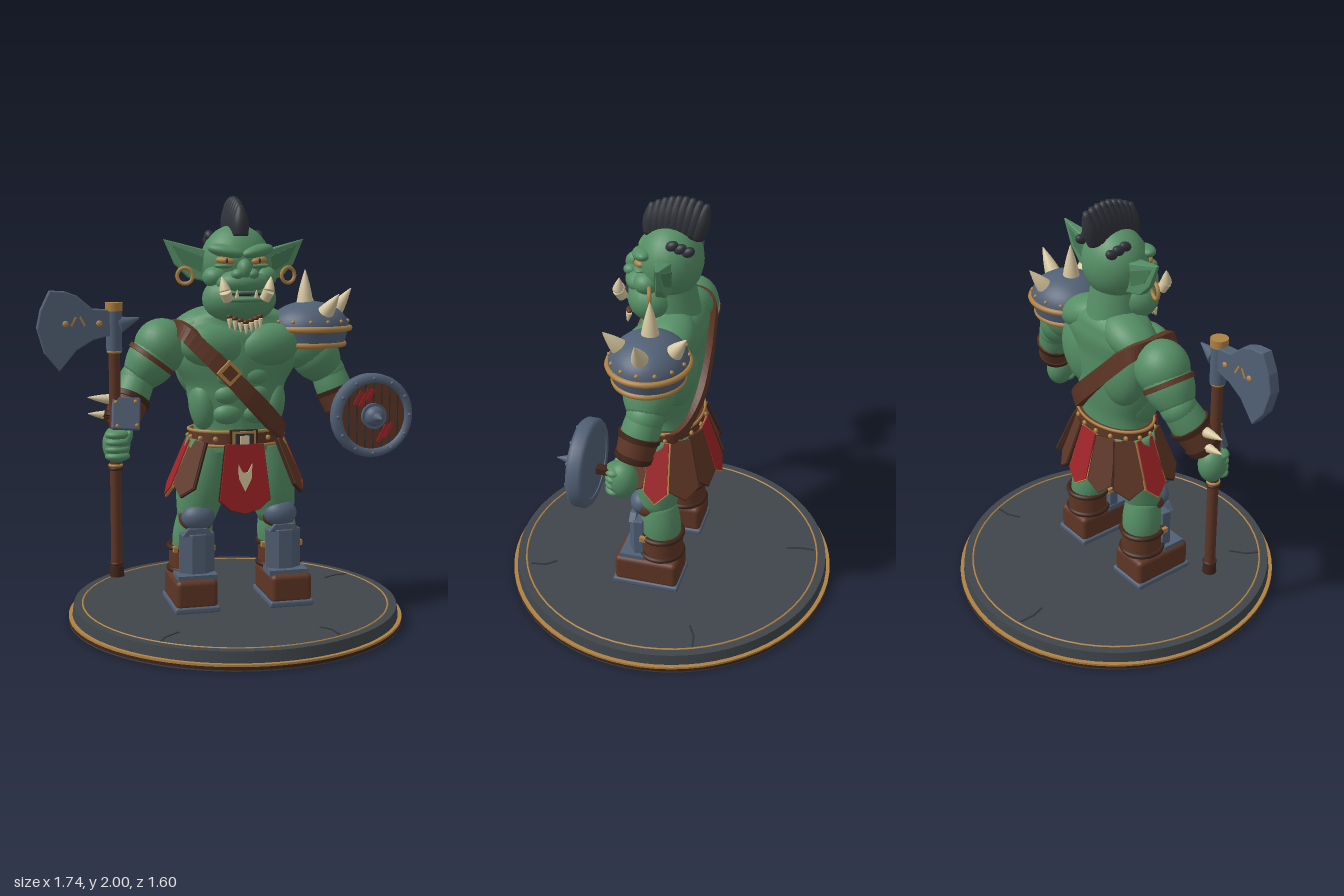
import * as THREE from 'three';
import { RoundedBoxGeometry } from 'three/addons/geometries/RoundedBoxGeometry.js';

const V = (p) => new THREE.Vector3(...p);
const M = {};
for (const [name, color] of Object.entries({
  skin: 0x558e65, darkSkin: 0x457a54, steel: 0x516075, leather: 0x5e3625, darkLeather: 0x40251b,
  gold: 0xae8142, red: 0x9e2327, bone: 0xd8c8a0, stone: 0x3f454a, hair: 0x30333a,
})) { M[name] = new THREE.MeshStandardMaterial({ color }); M[name].name = name; }

let root;
function add(name, geo, mat, p = [0, 0, 0], r = [0, 0, 0], parent = root) {
  const m = new THREE.Mesh(geo, M[mat]);
  m.name = name;
  m.position.set(...p);
  m.rotation.set(...r);
  parent.add(m);
  return m;
}
const ball = (name, mat, p, s, r) => {
  const m = add(name, new THREE.SphereGeometry(1, 24, 16), mat, p, r);
  m.scale.set(...s);
  return m;
};
const box = (name, mat, p, s, r) => add(name, new THREE.BoxGeometry(...s), mat, p, r);
const disc = (name, mat, p, r0, r1, h, r) => add(name, new THREE.CylinderGeometry(r1, r0, h, 72), mat, p, r);
const ring = (name, mat, p, R, t, r = [Math.PI / 2, 0, 0]) => add(name, new THREE.TorusGeometry(R, t, 8, 64), mat, p, r);
const between = (a, b, t) => V(a).lerp(V(b), t).toArray();

// Tapered, optionally bulging, round form from a to b
function limb(name, mat, a, b, r0, r1, bulge = 0) {
  const d = V(b).sub(V(a)), L = d.length(), pts = [new THREE.Vector2(0, 0)];
  for (let i = 0; i <= 10; i++) {
    const t = i / 10;
    pts.push(new THREE.Vector2(r0 + (r1 - r0) * t + bulge * Math.sin(Math.PI * t), L * t));
  }
  pts.push(new THREE.Vector2(0, L));
  const m = add(name, new THREE.LatheGeometry(pts, 24), mat, a);
  m.quaternion.setFromUnitVectors(V([0, 1, 0]), d.normalize());
  return m;
}
const spike = (name, a, b, r) => limb(name, 'bone', a, b, r, 0.002, r * 0.1);

const plate = (pts, depth, bevel = 0) => new THREE.ExtrudeGeometry(new THREE.Shape(pts.map((p) => new THREE.Vector2(...p))), {
  depth, bevelEnabled: bevel > 0, bevelSize: bevel, bevelThickness: bevel, bevelSegments: 2 }).translate(0, 0, -depth / 2);

// Torso cross-sections: y, half width, half depth, z centre
const rings = [[0.82, 0.21, 0.14, 0], [0.95, 0.2, 0.135, 0], [1.1, 0.235, 0.145, 0], [1.25, 0.3, 0.15, 0],
  [1.36, 0.32, 0.15, -0.01], [1.43, 0.25, 0.13, -0.02], [1.5, 0.12, 0.1, 0]];
function section(y) {
  let i = 0;
  while (i < rings.length - 2 && y > rings[i + 1][0]) i++;
  const a = rings[i], b = rings[i + 1];
  const t = THREE.MathUtils.smoothstep(y, a[0], b[0]);
  return a.map((v, k) => v + (b[k] - v) * t);
}

function buildTorso() {
  const g = new THREE.CylinderGeometry(1, 1, 0.68, 40, 34).translate(0, 1.16, 0), p = g.attributes.position;
  for (let i = 0; i < p.count; i++) {
    const [, rx, rz, zc] = section(p.getY(i));
    p.setXYZ(i, p.getX(i) * rx, p.getY(i), p.getZ(i) * rz + zc);
  }
  g.computeVertexNormals();
  add('torso', g, 'skin');
  for (const s of [-1, 1]) {
    ball('pectoral', 'skin', [s * 0.125, 1.31, 0.085], [0.16, 0.105, 0.09], [0, 0, s * 0.15]);
    ball('trapezius', 'skin', [s * 0.16, 1.4, -0.04], [0.16, 0.085, 0.11], [0, 0, -s * 0.35]);
    ball('backMuscle', 'skin', [s * 0.15, 1.22, -0.07], [0.13, 0.18, 0.085], [0, 0, -s * 0.25]);
    ball('oblique', 'skin', [s * 0.16, 1.03, 0.03], [0.07, 0.13, 0.09], [0, 0, -s * 0.15]);
    [1.0, 1.09, 1.175].forEach((y) => ball('abdominal', 'skin', [s * 0.06, y, 0.1], [0.075, 0.055, 0.055]));
    ball('buttock', 'skin', [s * 0.1, 0.8, -0.05], [0.12, 0.12, 0.1]);
  }
}

// Flat band wrapped diagonally round the chest
function buildStrap() {
  const pos = [], idx = [], n = 64;
  for (let i = 0; i < n; i++) {
    const t = (i / n) * 2 * Math.PI, c = Math.cos(t), s = Math.sin(t);
    let y = 1.11;
    for (let k = 0; k < 30; k++) y = (y + 1.11 - 1.02 * c * (section(y)[1] + 0.01)) / 2;
    const [, rx, rz, zc] = section(y), ax = 0.028 * Math.abs(s);
    const x = c * (rx + 0.01), z = zc + Math.sign(s) * Math.abs(s) ** 0.6 * (rz + (s > 0 ? 0.048 : 0.018));
    for (const [e, o] of [[-1, -0.02], [-1, 0.012], [1, 0.012], [1, -0.02]])
      pos.push(x + e * ax + c * o, y + e * 0.03, z + s * o);
    for (let k = 0; k < 4; k++) {
      const a = i * 4 + k, b = i * 4 + (k + 1) % 4, j = ((i + 1) % n) * 4, c2 = j + k, d = j + (k + 1) % 4;
      idx.push(a, b, c2, b, d, c2);
    }
  }
  let g = new THREE.BufferGeometry();
  g.setAttribute('position', new THREE.Float32BufferAttribute(pos, 3));
  g.setIndex(idx);
  g = g.toNonIndexed();
  g.computeVertexNormals();
  add('chestStrap', g, 'leather');
  box('strapBuckle', 'gold', [-0.08, 1.2, 0.208], [0.085, 0.085, 0.025], [0, 0, -0.78]);
  box('strapBucklePlate', 'leather', [-0.08, 1.2, 0.218], [0.055, 0.055, 0.012], [0, 0, -0.78]);
}

// Ear: a wedge, thick at the head and thin at the tip
function earGeometry(pts, depth, bevel) {
  const g = plate(pts, depth, bevel), p = g.attributes.position;
  for (let i = 0; i < p.count; i++) {
    const t = (Math.abs(p.getX(i)) - 0.12) / 0.22;
    p.setZ(i, p.getZ(i) * (2.2 - 1.9 * t) - 0.03 * t);
  }
  g.computeVertexNormals();
  return g;
}

function buildHead() {
  limb('neck', 'skin', [0, 1.38, -0.01], [0, 1.62, 0.02], 0.14, 0.12);
  ball('skull', 'skin', [0, 1.7, 0], [0.165, 0.17, 0.145]);
  ball('jaw', 'skin', [0, 1.53, 0.07], [0.175, 0.12, 0.125]);
  ball('muzzle', 'skin', [0, 1.605, 0.12], [0.125, 0.06, 0.085]);
  ball('mouth', 'hair', [0, 1.555, 0.14], [0.11, 0.011, 0.067]);
  ball('lowerLip', 'skin', [0, 1.53, 0.15], [0.11, 0.02, 0.057]);
  ball('nose', 'skin', [0, 1.665, 0.165], [0.035, 0.05, 0.045]);
  for (const s of [-1, 1]) {
    ball('nostril', 'skin', [s * 0.035, 1.645, 0.175], [0.03, 0.025, 0.035]);
    ball('cheek', 'skin', [s * 0.115, 1.63, 0.08], [0.06, 0.05, 0.06]);
    ball('brow', 'skin', [s * 0.075, 1.748, 0.11], [0.085, 0.03, 0.045], [0, s * 0.35, s * 0.2]);
    ball('eye', 'gold', [s * 0.078, 1.705, 0.118], [0.045, 0.02, 0.028], [0, s * 0.4, s * 0.12]);
    ball('pupil', 'hair', [s * 0.076, 1.705, 0.142], [0.008, 0.011, 0.007]);
    ball('eyelid', 'skin', [s * 0.08, 1.682, 0.113], [0.05, 0.013, 0.032]);
    limb('tuskRoot', 'bone', [s * 0.085, 1.53, 0.2], [s * 0.102, 1.57, 0.215], 0.024, 0.027);
    spike('tusk', [s * 0.102, 1.57, 0.215], [s * 0.115, 1.635, 0.205], 0.027);
    spike('tooth', [s * 0.045, 1.54, 0.205], [s * 0.045, 1.575, 0.213], 0.01);
    // Ear with a slightly darker hollow and a hanging ring
    add('ear', earGeometry([[s * 0.12, 1.74], [s * 0.33, 1.797], [s * 0.28, 1.69], [s * 0.22, 1.63], [s * 0.13, 1.61]], 0.026, 0.006), 'skin');
    add('earHollow', earGeometry([[s * 0.16, 1.72], [s * 0.3, 1.775], [s * 0.255, 1.695], [s * 0.17, 1.65]], 0.044, 0), 'darkSkin');
    ring('earring', 'gold', [s * 0.247, 1.635, 0.03], 0.036, 0.009, [0, s * 0.3, 0]);
    for (let i = 0; i < 3; i++)
      ball('sideHair', 'hair', [s * (0.118 - 0.004 * i), 1.82 - i * 0.012, -0.035 - i * 0.035], [0.022, 0.022, 0.03], [0.5, 0, 0]);
  }
  // Crest of overlapping upright tufts, fanned from front to back
  for (let i = 0; i < 9; i++) {
    const t = i / 8, mid = Math.sin(Math.PI * (0.15 + 0.7 * t));
    limb('mohawkTuft', 'hair', [0, 1.8 + 0.035 * mid, 0.09 - 0.2 * t], [0, 1.938 + 0.06 * Math.sin(Math.PI * (0.1 + 0.7 * t)), 0.085 - 0.245 * t],
      0.03 + 0.012 * mid, 0.012, 0.014);
  }
  // Tooth necklace
  for (let i = -3; i <= 3; i++) {
    const a = i * 0.18, x = 0.14 * Math.sin(a), z = 0.055 + 0.14 * Math.cos(a), y = 1.42 + Math.abs(i) * 0.008;
    ball('necklaceBead', 'leather', [x, y + 0.01, z], [0.014, 0.01, 0.012]);
    spike('necklaceTooth', [x, y, z], [x, y - 0.045, z + 0.008], 0.012);
  }
}

function buildArm(s, shoulder, elbow, wrist, hand) {
  ball('shoulder', 'skin', shoulder, [0.13, 0.13, 0.125]);
  limb('upperArm', 'skin', shoulder, elbow, 0.1, 0.08, 0.025);
  ball('elbow', 'skin', elbow, [0.085, 0.085, 0.085]);
  limb('forearm', 'skin', elbow, wrist, 0.08, 0.06, 0.015);
  const mid = between(elbow, wrist, 0.4);
  limb('bracer', 'leather', mid, wrist, 0.092, 0.078);
  limb('bracerBand', 'darkLeather', between(mid, wrist, 0.75), between(mid, wrist, 0.95), 0.087, 0.084);
  limb('bracerTopBand', 'darkLeather', mid, between(mid, wrist, 0.18), 0.097, 0.095);
  ball('hand', 'skin', hand, [0.064, 0.088, 0.07]);
  for (let i = 0; i < 4; i++)
    ball('finger', 'skin', [hand[0], hand[1] + 0.05 - i * 0.033, hand[2] + 0.032], [0.058, 0.024, 0.045]);
  ball('thumb', 'skin', [hand[0] - s * 0.045, hand[1] + 0.03, hand[2] + 0.03], [0.022, 0.05, 0.03], [0, 0, s * 0.4]);
}

function buildShoulderPad() {
  const dome = add('shoulderDome', new THREE.SphereGeometry(0.195, 36, 12, 0, Math.PI * 2, 0, Math.PI / 2), 'steel', [0.36, 1.385, 0]);
  dome.scale.set(1, 0.65, 0.9);
  disc('shoulderSleeve', 'steel', [0.365, 1.35, 0], 0.165, 0.185, 0.08).scale.z = 0.95;
  for (const [y, R] of [[1.385, 0.192], [1.31, 0.165]]) ring('shoulderTrim', 'gold', [0.364, y, 0], R, 0.014).scale.y = 0.92;
  for (const [a, b] of [[[0.34, 1.49, 0], [0.34, 1.66, 0]], [[0.48, 1.45, 0], [0.57, 1.57, 0]],
    [[0.4, 1.45, 0.11], [0.45, 1.55, 0.175]], [[0.39, 1.45, -0.11], [0.42, 1.55, -0.18]]]) {
    spike('shoulderSpike', a, b, 0.042);
    limb('spikeCollar', 'gold', between(a, b, -0.1), between(a, b, 0.07), 0.05, 0.045);
  }
  for (let i = 0; i < 14; i++) {
    const t = (i / 14) * Math.PI * 2;
    ball('shoulderRivet', 'gold', [0.36 + 0.188 * Math.cos(t), 1.42, 0.17 * Math.sin(t)], [0.009, 0.009, 0.009]);
  }
}

function buildSkirt() {
  disc('belt', 'leather', [0, 0.885, 0], 0.228, 0.222, 0.07).scale.z = 0.68;
  for (const y of [0.852, 0.918]) ring('beltEdge', 'gold', [0, y, 0], 0.225, 0.008).scale.y = 0.68;
  for (let i = 0; i < 16; i++) {
    const t = (i / 16) * Math.PI * 2 + 0.2;
    ball('beltStud', 'gold', [0.227 * Math.cos(t), 0.885, 0.156 * Math.sin(t)], [0.012, 0.012, 0.01]);
  }
  box('buckle', 'darkLeather', [0, 0.885, 0.16], [0.13, 0.09, 0.02]);
  box('buckleFrame', 'gold', [0, 0.885, 0.167], [0.11, 0.08, 0.02]);
  box('bucklePlate', 'hair', [0, 0.885, 0.175], [0.086, 0.058, 0.012]);
  box('buckleInset', 'bone', [0, 0.885, 0.18], [0.045, 0.04, 0.008]);
  // Hanging panels, flaring from the belt
  const panel = (deg, w, len, mat, tilt) => {
    const a = THREE.MathUtils.degToRad(deg), holder = new THREE.Group();
    holder.name = 'skirtPanel';
    holder.position.set(0.222 * Math.sin(a), 0.87, 0.155 * Math.cos(a));
    holder.rotation.set(-tilt, a, 0, 'YXZ');
    root.add(holder);
    const pts = (k) => [[-w * 0.4 - k, 0], [-w / 2 - k, -len * 0.82], [0, -len - k], [w / 2 + k, -len * 0.82], [w * 0.4 + k, 0]];
    add('panelTrim', plate(pts(0.007), 0.012), mat === 'red' ? 'gold' : 'darkLeather', [0, 0, -0.002], [0, 0, 0], holder);
    add('panelFace', plate(pts(0), 0.02), mat, [0, 0, 0], [0, 0, 0], holder);
  };
  for (const s of [-1, 1]) {
    panel(s * 62, 0.14, 0.27, 'leather', 0.4);
    panel(s * 92, 0.11, 0.29, 'red', 0.4);
    panel(s * 122, 0.14, 0.28, 'leather', 0.4);
    panel(s * 152, 0.12, 0.27, 'leather', 0.34);
  }
  panel(180, 0.13, 0.28, 'red', 0.32);
  const cloth = [[-0.09, 0.86], [-0.12, 0.6], [-0.07, 0.555], [0, 0.535], [0.07, 0.555], [0.12, 0.6], [0.09, 0.86]];
  add('loincloth', plate(cloth, 0.016), 'red', [0, 0.006, 0.21], [-0.04, 0, 0]);
  add('loinclothBacking', plate(cloth.map(([x, y]) => [x * 1.04, y - 0.004]), 0.008), 'darkLeather', [0, 0.006, 0.203], [-0.04, 0, 0]);
  add('clothEmblem', plate([[-0.033, 0.775], [-0.03, 0.705], [0, 0.645], [0.03, 0.705], [0.033, 0.775], [0.012, 0.735], [-0.012, 0.735]], 0.006), 'bone', [0, 0, 0.192]);
}

function buildLeg(s) {
  limb('thigh', 'skin', [s * 0.13, 0.86, 0], [s * 0.2, 0.48, 0.02], 0.105, 0.085, 0.025);
  limb('calf', 'skin', [s * 0.2, 0.52, 0.01], [s * 0.22, 0.25, -0.02], 0.08, 0.07, 0.02);
  ball('kneePad', 'leather', [s * 0.2, 0.5, 0.045], [0.085, 0.07, 0.085]);
  ball('kneeCap', 'steel', [s * 0.2, 0.512, 0.085], [0.08, 0.064, 0.06]);
  const shin = plate([[-0.075, -0.07], [0.075, -0.07], [0.08, -0.105], [0.03, -0.14], [-0.03, -0.14], [-0.08, -0.105]], 0.2, 0.004).rotateX(-Math.PI / 2);
  add('shinGuard', shin, 'steel', [s * 0.21, 0.335, 0]);
  add('shinPeak', plate([[-0.076, 0.43], [0.076, 0.43], [0.045, 0.465], [-0.045, 0.465]], 0.03), 'steel', [s * 0.21, 0, 0.12]);
  box('shinFoot', 'steel', [s * 0.22, 0.24, 0.115], [0.19, 0.025, 0.12]);
  disc('ankleWrap', 'leather', [s * 0.22, 0.295, -0.015], 0.098, 0.098, 0.13);
  for (const y of [0.25, 0.355]) ring('ankleBand', 'darkLeather', [s * 0.22, y, -0.01], 0.1, 0.013);
  for (const k of [-1, 1]) box('shinClasp', 'gold', [s * 0.215 + k * 0.09, 0.355, 0.06], [0.02, 0.025, 0.03]);
  add('boot', new RoundedBoxGeometry(0.2, 0.14, 0.31, 3, 0.025), 'leather', [s * 0.228, 0.165, 0.045]);
  add('bootSole', new RoundedBoxGeometry(0.215, 0.03, 0.325, 2, 0.01), 'steel', [s * 0.228, 0.095, 0.045]);
}

function buildAxe(x, z) {
  disc('axeShaft', 'leather', [x, 0.88, z], 0.026, 0.026, 1.2);
  disc('axePommel', 'darkLeather', [x, 0.285, z], 0.034, 0.03, 0.05);
  for (const [y, m] of [[0.32, 'darkLeather'], [0.78, 'gold'], [0.765, 'darkLeather'], [1.3, 'gold']]) ring('shaftBand', m, [x, y, z], 0.027, 0.007);
  disc('axeSocket', 'steel', [x, 1.395, z], 0.036, 0.036, 0.18);
  disc('axeCap', 'gold', [x, 1.503, z], 0.04, 0.04, 0.038);
  add('axeBlade', plate([[-0.61, 1.38], [-0.69, 1.36], [-0.765, 1.315], [-0.84, 1.225], [-0.9, 1.3], [-0.932, 1.41], [-0.915, 1.49], [-0.875, 1.572], [-0.81, 1.568], [-0.76, 1.55], [-0.69, 1.49], [-0.61, 1.485]], 0.045, 0.005), 'steel', [0, 0, z]);
  limb('axeBackSpike', 'steel', [x + 0.02, 1.42, z], [-0.475, 1.45, z], 0.04, 0.004);
  for (const k of [-1, 1]) {
    for (const [bx, by] of [[-0.66, 1.43], [-0.81, 1.43]]) ball('bladeRivet', 'gold', [bx, by, z + k * 0.028], [0.014, 0.014, 0.008]);
    for (const e of [-1, 1]) box('bladeMark', 'gold', [-0.755 + e * 0.02, 1.44, z + k * 0.028], [0.009, 0.045, 0.006], [0, 0, e * 0.5]);
  }
}

function buildShield(x, y, z) {
  const rim = [[0.155, -0.035], [0.185, -0.035], [0.197, -0.02], [0.197, 0.02], [0.185, 0.037], [0.155, 0.037], [0.155, -0.035]];
  add('shieldRim', new THREE.LatheGeometry(rim.map((p) => new THREE.Vector2(...p)), 48), 'steel', [x, y, z], [Math.PI / 2, 0, 0]);
  disc('shieldBoards', 'leather', [x, y, z + 0.01], 0.16, 0.16, 0.03, [Math.PI / 2, 0, 0]);
  disc('shieldBack', 'steel', [x, y, z - 0.018], 0.16, 0.16, 0.025, [Math.PI / 2, 0, 0]);
  for (let i = -3; i <= 3; i++) box('boardGap', 'hair', [x + i * 0.04, y, z + 0.026], [0.006, 2 * Math.sqrt(0.0245 - (i * 0.04) ** 2), 0.004]);
  for (const [dx, dy, l] of [[-0.075, 0.085, 0.07], [-0.045, 0.085, 0.09], [-0.015, 0.1, 0.06], [0.045, -0.085, 0.09], [0.075, -0.07, 0.08]])
    box('shieldSlash', 'red', [x + dx, y + dy, z + 0.029], [0.018, l, 0.006], [0, 0, -0.5]);
  disc('shieldBossPlate', 'steel', [x, y, z + 0.035], 0.06, 0.06, 0.02, [Math.PI / 2, 0, 0]);
  ball('shieldBoss', 'steel', [x, y, z + 0.045], [0.048, 0.048, 0.04]);
  limb('shieldSpike', 'steel', [x, y, z + 0.07], [x, y, z + 0.14], 0.025, 0.002);
  for (let i = 0; i < 12; i++) {
    const t = (i / 12) * Math.PI * 2;
    ball('rimRivet', 'steel', [x + 0.176 * Math.cos(t), y + 0.176 * Math.sin(t), z + 0.038], [0.009, 0.009, 0.007]);
  }
  box('shieldGrip', 'darkLeather', [x - 0.03, y - 0.05, z - 0.07], [0.04, 0.03, 0.09]);
}

function buildBase() {
  disc('baseUnderside', 'stone', [0, 0.003, 0], 0.8, 0.8, 0.006);
  disc('baseFoot', 'darkLeather', [0, 0.013, 0], 0.8, 0.8, 0.014);
  disc('baseGoldEdge', 'gold', [0, 0.025, 0], 0.8, 0.8, 0.01);
  disc('baseTop', 'stone', [0, 0.055, 0], 0.782, 0.775, 0.05);
  ring('baseInlay', 'gold', [0, 0.079, 0], 0.733, 0.005);
  const cracks = [[[-0.16, -0.7], [-0.16, -0.63], [-0.14, -0.565]], [[0.535, -0.235], [0.6, -0.27], [0.665, -0.28]],
    [[-0.475, 0.56], [-0.44, 0.5], [-0.37, 0.445]], [[0.26, 0.525], [0.3, 0.57], [0.31, 0.64]]];
  for (const c of cracks) for (let i = 0; i < 2; i++) {
    const [[x0, z0], [x1, z1]] = [c[i], c[i + 1]];
    box('crack', 'hair', [(x0 + x1) / 2, 0.08, (z0 + z1) / 2], [Math.hypot(x1 - x0, z1 - z0), 0.006, 0.009], [0, -Math.atan2(z1 - z0, x1 - x0), 0]);
  }
}

export function createModel() {
  const model = new THREE.Group();
  model.name = 'orcWarrior';
  root = new THREE.Group();
  root.name = 'figure';
  root.position.x = 0.06;
  model.add(root);
  buildBase();
  buildTorso();
  buildStrap();
  buildHead();
  buildArm(-1, [-0.35, 1.31, -0.01], [-0.465, 1.16, -0.01], [-0.565, 0.96, 0.075], [-0.585, 0.875, 0.1]);
  buildArm(1, [0.35, 1.31, -0.01], [0.46, 1.17, -0.01], [0.53, 0.98, 0.03], [0.555, 0.885, 0.07]);
  // Right arm band, bracer plate and spikes
  limb('armBand', 'leather', [-0.392, 1.262, -0.01], [-0.406, 1.243, -0.01], 0.122, 0.122);
  add('bracerPlate', new RoundedBoxGeometry(0.13, 0.15, 0.03, 2, 0.008), 'steel', [-0.545, 1.02, 0.135], [-0.3, 0, -0.08]);
  for (const i of [-1, 1]) for (const j of [-1, 1])
    ball('plateRivet', 'gold', [-0.545 + i * 0.045, 1.022 + j * 0.052, 0.151 - j * 0.016], [0.009, 0.009, 0.008]);
  for (const y of [1.075, 1.0]) spike('bracerSpike', [-0.6, y, 0.04], [-0.705, y + 0.012, 0.04], 0.025);
  buildShoulderPad();
  buildSkirt();
  for (const s of [-1, 1]) buildLeg(s);
  buildAxe(-0.59, 0.105);
  buildShield(0.605, 0.985, 0.21);
  return model;
}
